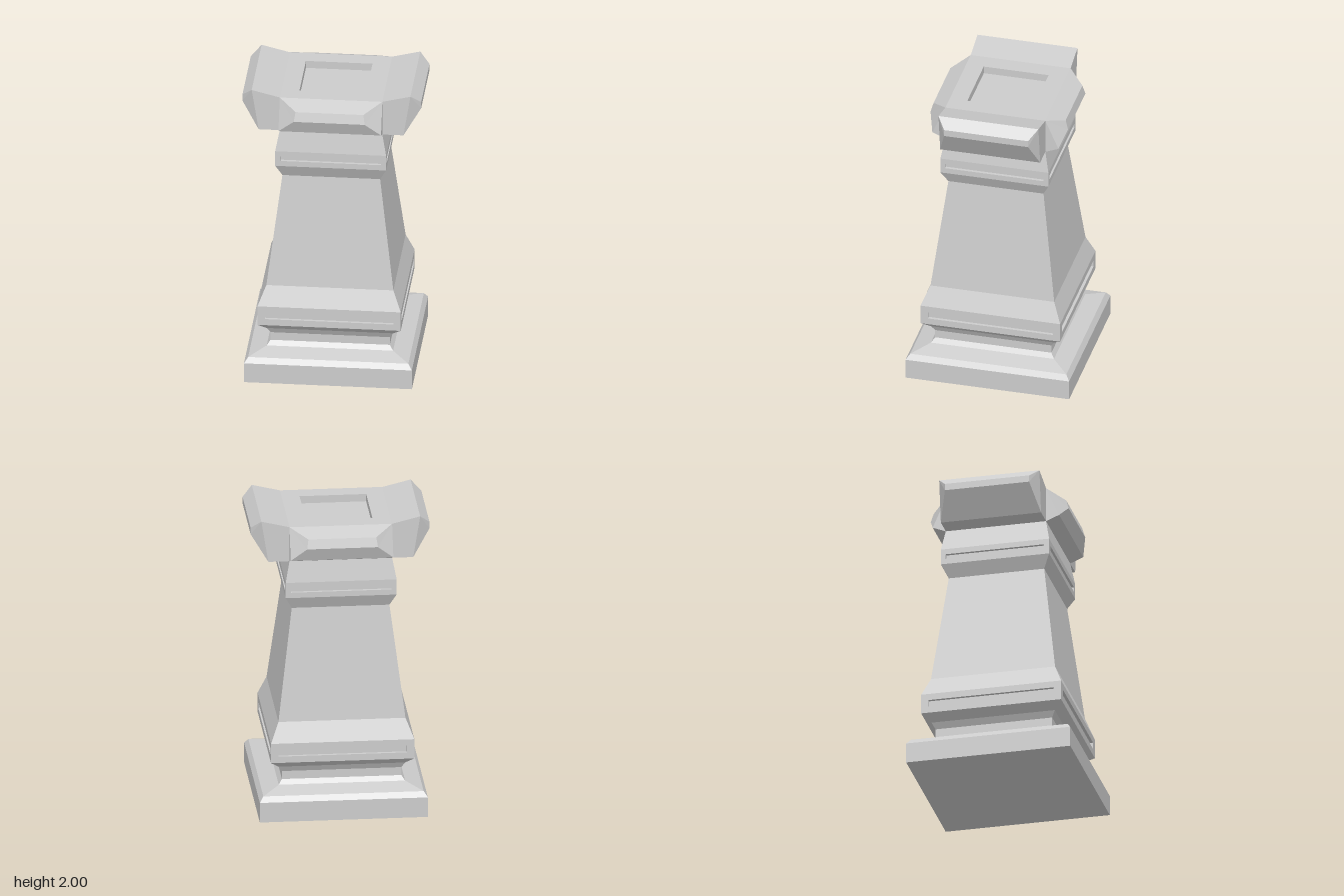
import * as THREE from 'three';

const material = new THREE.MeshStandardMaterial({ color: 0xcccccc, flatShading: true });

// Mesh from flat polygons, each a counter-clockwise list of [x, y, z] corners
function polyMesh(name, polys) {
  const pos = [];
  for (const p of polys) {
    for (let i = 1; i < p.length - 1; i++) pos.push(...p[0], ...p[i], ...p[i + 1]);
  }
  const geo = new THREE.BufferGeometry();
  geo.setAttribute('position', new THREE.Float32BufferAttribute(pos, 3));
  geo.computeVertexNormals();
  const mesh = new THREE.Mesh(geo, material);
  mesh.name = name;
  return mesh;
}

// Corners of a rectangle facing +z
const rect = (w, h, z) => [[-w, -h, z], [w, -h, z], [w, h, z], [-w, h, z]];

// Quads joining one four-corner ring to the next
const join = (a, b) => a.map((p, i) => {
  const j = (i + 1) % 4;
  return [p, a[j], b[j], b[i]];
});

// Rectangular panel facing +z with a sunken rectangular recess (half sizes)
function recessedPanel(name, w, h, slotW, slotH, depth) {
  const outer = rect(w, h, 0), rim = rect(slotW, slotH, 0), floor = rect(slotW, slotH, -depth);
  return polyMesh(name, [...join(outer, rim), ...join(rim, floor), floor]);
}

// Horizontal square ring, counter-clockwise seen from above
const ring = ([r, y]) => [[-r, y, r], [r, y, r], [r, y, -r], [-r, y, -r]];

// Stacked square tiers from a [half width, y] profile
function tiers(name, profile) {
  const polys = [];
  for (let i = 0; i < profile.length - 1; i++) polys.push(...join(ring(profile[i]), ring(profile[i + 1])));
  return polyMesh(name, polys);
}

// Projection of the cap towards +x; section points are [x, y, half width in z]
function projection(name, section, sides) {
  const at = (i, s) => [section[i][0], section[i][1], s * section[i][2]];
  const polys = [];
  for (let i = 0; i < section.length - 1; i++) {
    polys.push([at(i, -1), at(i, 1), at(i + 1, 1), at(i + 1, -1)]);
  }
  for (const side of sides) {
    polys.push(side.map(i => at(i, 1)));
    // Reversed winding, keeping the same first corner for the fan
    polys.push([side[0], ...side.slice(1).reverse()].map(i => at(i, -1)));
  }
  return polyMesh(name, polys);
}

export function createModel() {
  const model = new THREE.Group();
  model.name = 'pedestal';

  // Plinth with its underside, and the narrow neck above it
  model.add(tiers('plinth', [[0.545, 0], [0.545, 0.135], [0.52, 0.17], [0.41, 0.205]]));
  model.add(polyMesh('underside', [ring([0.545, 0]).reverse()]));
  model.add(tiers('neck', [[0.41, 0.205], [0.387, 0.235], [0.387, 0.29], [0.41, 0.33], [0.465, 0.377]]));

  // Tapering shaft and the collar's shoulder
  model.add(tiers('shaft', [[0.465, 0.51], [0.412, 0.64], [0.317, 1.39], [0.36, 1.475]]));
  model.add(tiers('shoulder', [[0.36, 1.58], [0.333, 1.72]]));

  // Two vertical bands with a slot in each of the four faces
  const bands = [
    ['lowerBand', 0.465, 0.377, 0.51, 0.417, 0.023],
    ['upperBand', 0.36, 1.475, 1.58, 0.327, 0.016],
  ];
  for (const [name, r, y0, y1, slotW, slotH] of bands) {
    const band = new THREE.Group();
    band.name = name;
    for (let i = 0; i < 4; i++) {
      const panel = recessedPanel('slottedPanel', r, (y1 - y0) / 2, slotW, slotH, 0.02);
      const angle = i * Math.PI / 2;
      panel.position.set(r * Math.sin(angle), (y0 + y1) / 2, r * Math.cos(angle));
      panel.rotation.y = angle;
      band.add(panel);
    }
    model.add(band);
  }

  // Cap: top with a square pocket, raised wings left and right, sloped lips front and back
  const cap = new THREE.Group();
  cap.name = 'cap';
  const top = recessedPanel('pocketTop', 0.333, 0.333, 0.216, 0.216, 0.05);
  top.rotation.x = -Math.PI / 2;
  top.position.y = 1.955;
  cap.add(top);

  const wing = [
    [0.333, 1.955, 0.333], [0.515, 2, 0.333], [0.58, 1.94, 0.28],
    [0.58, 1.895, 0.28], [0.47, 1.72, 0.333], [0.333, 1.72, 0.333],
  ];
  const lip = [
    [0.333, 1.955, 0.333], [0.44, 1.907, 0.22], [0.458, 1.845, 0.23],
    [0.42, 1.755, 0.333], [0.333, 1.72, 0.333],
  ];
  for (const turn of [0, Math.PI]) {
    const w = projection(turn ? 'rightWing' : 'leftWing', wing, [[0, 5, 4, 1], [1, 4, 3, 2]]);
    w.rotation.y = turn;
    const l = projection(turn ? 'backLip' : 'frontLip', lip, [[0, 4, 3], [0, 3, 2, 1]]);
    l.rotation.y = turn - Math.PI / 2;
    cap.add(w, l);
  }
  model.add(cap);

  return model;
}
